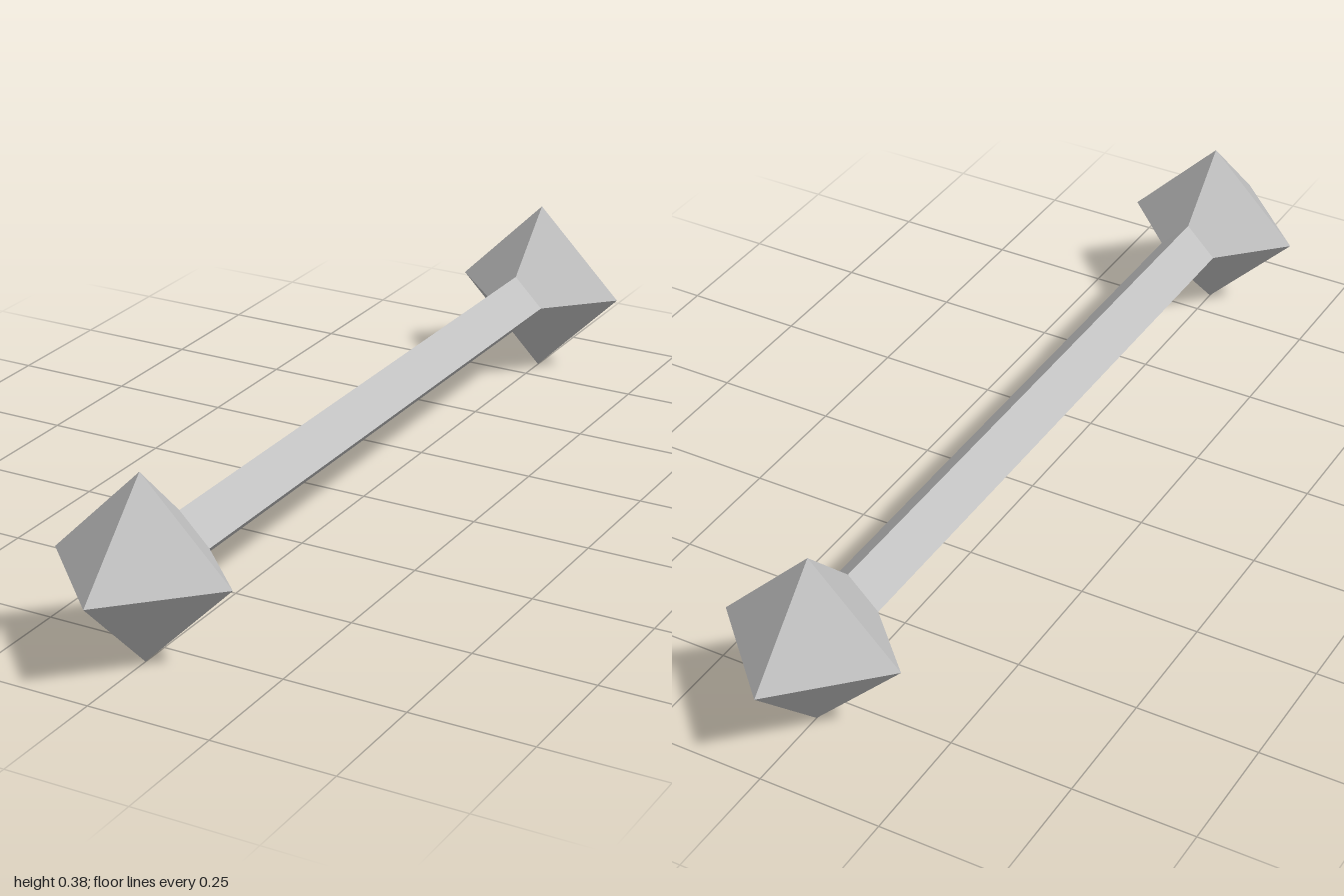
import * as THREE from 'three';

const HEAD = 0.1875;    // corner radius of the end weights
const BAR = 0.0625;     // corner radius of the square bar
const CENTRE = 0.8125;  // z of the widest part of each weight
const JOIN = 0.6875;    // z where the bar meets a weight

// Four-sided open section along z, with corners on the x and y axes
function section(rBack, rFront, zBack, zFront) {
  const g = new THREE.CylinderGeometry(rFront, rBack, zFront - zBack, 4, 1, true)
    .rotateX(Math.PI / 2)
    .translate(0, HEAD, (zBack + zFront) / 2)
    .toNonIndexed();
  g.computeVertexNormals();
  return g;
}

export function createModel() {
  const model = new THREE.Group();
  model.name = 'dumbbell';
  const grey = new THREE.MeshStandardMaterial({ color: 0xc0c0c0, flatShading: true });
  grey.name = 'grey';

  const add = (name, geometry, parent) => {
    const mesh = new THREE.Mesh(geometry, grey);
    mesh.name = name;
    parent.add(mesh);
  };

  // Diamond-section bar
  add('bar', section(BAR, BAR, -JOIN, JOIN), model);

  // Octahedral end weights, cut off where the bar enters
  for (const [name, turn] of [['frontWeight', 0], ['backWeight', Math.PI]]) {
    const weight = new THREE.Group();
    weight.name = name;
    weight.rotation.y = turn;
    add('innerTaper', section(BAR, HEAD, JOIN, CENTRE), weight);
    add('outerPoint', section(HEAD, 0, CENTRE, CENTRE + HEAD), weight);
    model.add(weight);
  }
  return model;
}
